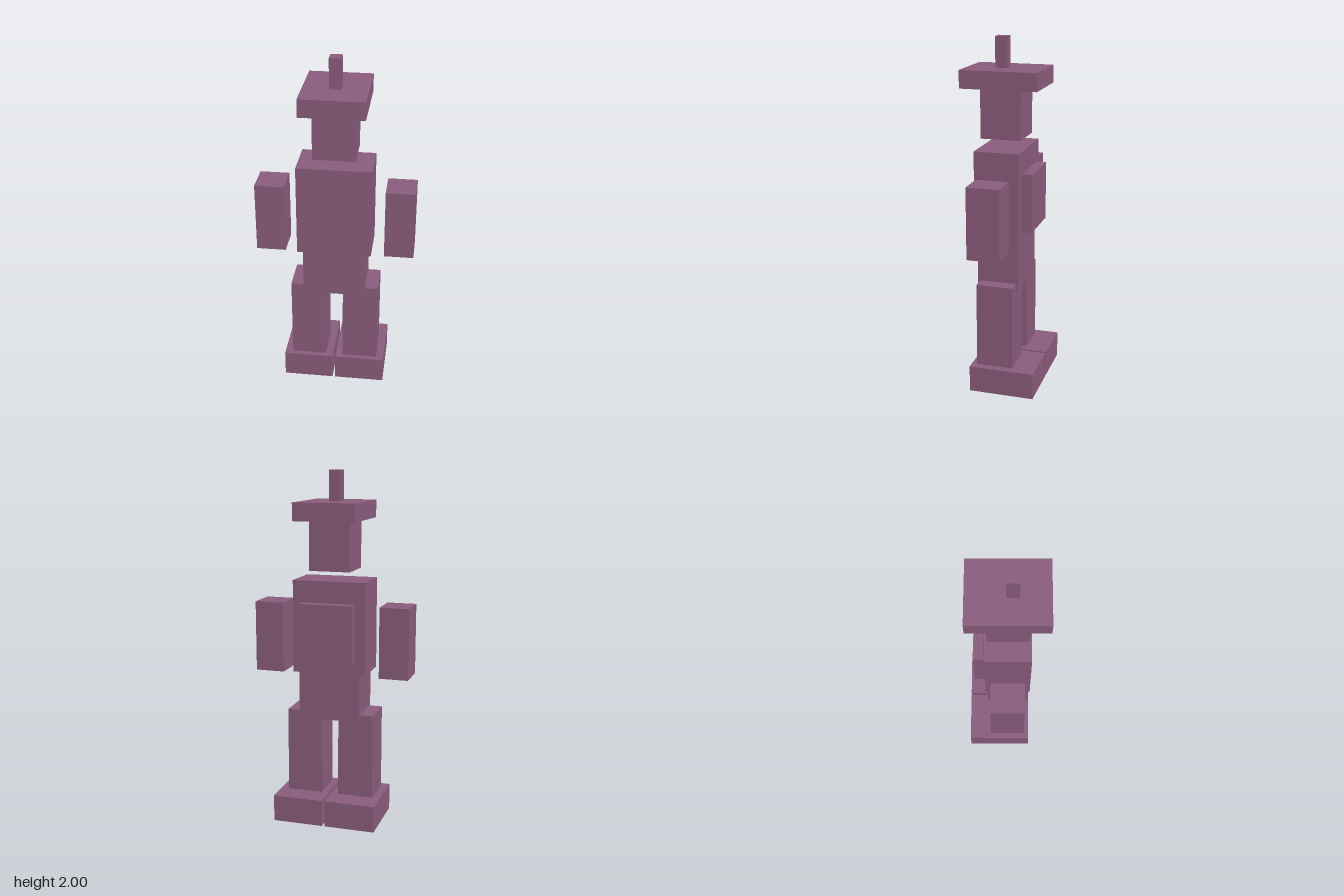
import * as THREE from 'three';

export function createModel() {
  const model = new THREE.Group();
  model.name = 'blockFigure';
  const plum = new THREE.MeshStandardMaterial({ color: 0x8a5c7c });
  plum.name = 'plum';

  // Box given by its extents along each axis
  function block(name, [x0, x1], [y0, y1], [z0, z1]) {
    const mesh = new THREE.Mesh(new THREE.BoxGeometry(x1 - x0, y1 - y0, z1 - z0), plum);
    mesh.position.set((x0 + x1) / 2, (y0 + y1) / 2, (z0 + z1) / 2);
    mesh.name = name;
    model.add(mesh);
  }

  // Same block on both sides of the body
  function pair(name, [x0, x1], y, z) {
    block('left' + name, [x0, x1], y, z);
    block('right' + name, [-x1, -x0], y, z);
  }

  // Head and hat
  block('antenna', [-0.033, 0.033], [1.83, 2], [0, 0.067]);
  block('hatBrim', [-0.178, 0.178], [1.73, 1.83], [-0.207, 0.227]);
  block('head', [-0.118, 0.118], [1.45, 1.73], [-0.102, 0.127]);

  // Body
  block('torso', [-0.21, 0.21], [0.872, 1.397], [-0.116, 0.137]);
  block('backpack', [-0.153, 0.153], [0.942, 1.275], [-0.178, -0.121]);
  block('pelvis', [-0.178, 0.178], [0.6, 0.872], [-0.107, 0.13]);

  // Limbs
  pair('Arm', [0.282, 0.449], [0.858, 1.26], [-0.083, 0.102]);
  pair('Leg', [0.05, 0.253], [0.152, 0.64], [-0.095, 0.115]);
  pair('Foot', [0.008, 0.298], [0, 0.152], [-0.228, 0.146]);

  return model;
}
